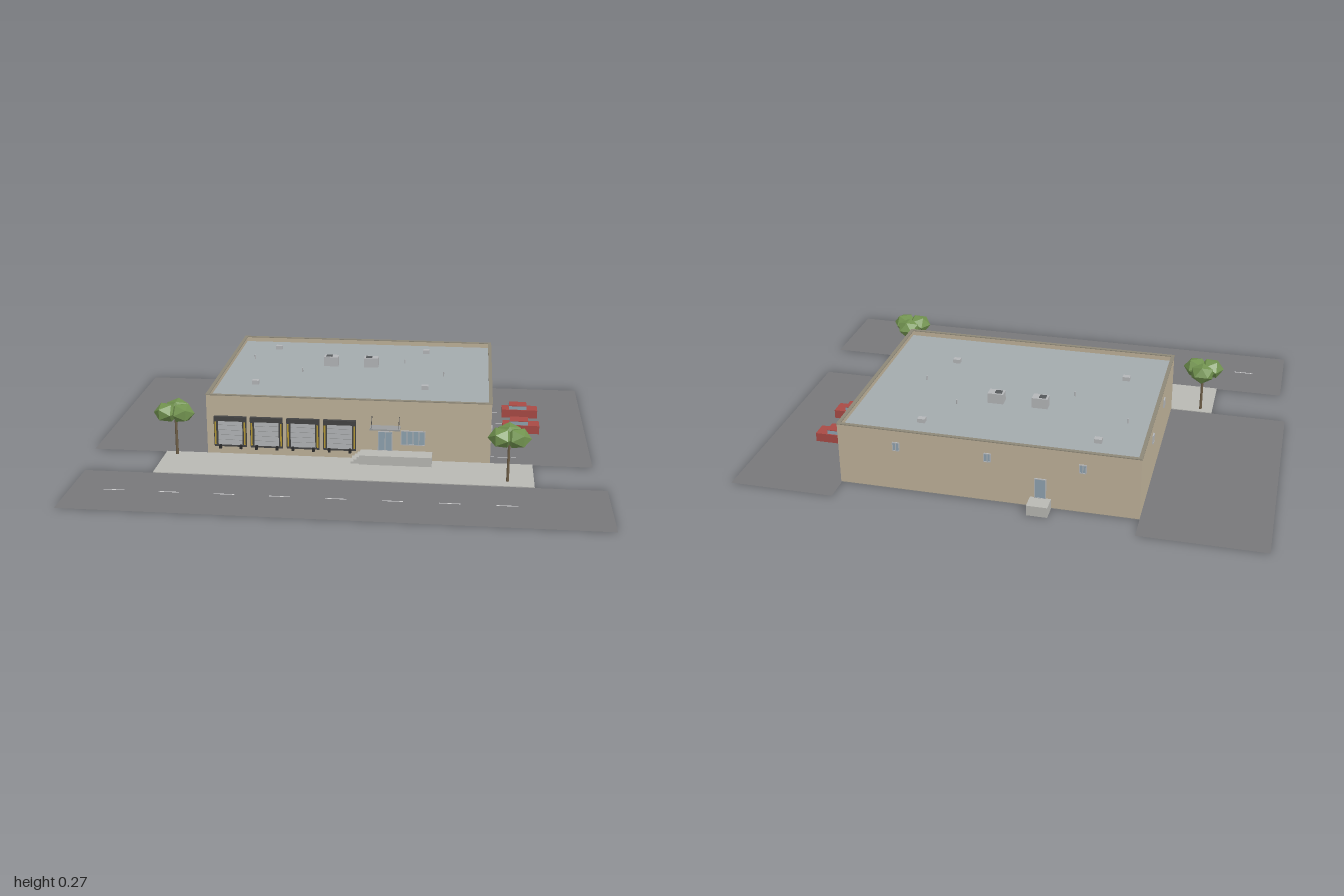
import * as THREE from 'three';

const mats = {};
const mat = (color) => (mats[color] ??= new THREE.MeshStandardMaterial({ color }));
const WALL = 0xbfb29a, ROOF = 0xa3aaad, ASPHALT = 0x77777a, CONCRETE = 0xb8b8b3;
const DARK = 0x444444, GLASS = 0x8fa3b0, GREY = 0xb4b6b8, RED = 0xa84a45, YELLOW = 0xb89b35, LINE = 0xd0d0d0;

// Box given by its minimum and maximum on each axis
function box(parent, name, color, x0, x1, y0, y1, z0, z1) {
  const m = new THREE.Mesh(new THREE.BoxGeometry(x1 - x0, y1 - y0, z1 - z0), mat(color));
  m.position.set((x0 + x1) / 2, (y0 + y1) / 2, (z0 + z1) / 2);
  m.name = name;
  parent.add(m);
  return m;
}

// Flat ground sheet
function sheet(parent, name, color, x0, x1, z0, z1, y = 0) {
  const material = mat(color).clone();
  material.side = THREE.DoubleSide;
  const m = new THREE.Mesh(new THREE.PlaneGeometry(x1 - x0, z1 - z0).rotateX(-Math.PI / 2), material);
  m.position.set((x0 + x1) / 2, y, (z0 + z1) / 2);
  m.name = name;
  parent.add(m);
}

// Thin round bar between two points
function bar(parent, name, color, a, b, r0, r1 = r0, sides = 6) {
  const from = new THREE.Vector3(...a), dir = new THREE.Vector3(...b).sub(from);
  const m = new THREE.Mesh(new THREE.CylinderGeometry(r1, r0, dir.length(), sides), mat(color));
  m.position.copy(from).addScaledVector(dir, 0.5);
  m.quaternion.setFromUnitVectors(new THREE.Vector3(0, 1, 0), dir.normalize());
  m.name = name;
  parent.add(m);
}

// Framed glazing facing +z, centred on its own origin
function glazing(name, w, h, panes) {
  const g = new THREE.Group(), t = 0.003;
  g.name = name;
  box(g, 'glass', GLASS, -w / 2, w / 2, -h / 2, h / 2, -0.002, 0.002);
  for (const s of [-1, 1]) box(g, 'frame', GREY, -w / 2, w / 2, s * h / 2 - t / 2, s * h / 2 + t / 2, -0.002, 0.004);
  for (let i = 0; i <= panes; i++) {
    const x = -w / 2 + (w * i) / panes;
    box(g, 'frame', GREY, x - t / 2, x + t / 2, -h / 2, h / 2, -0.002, 0.004);
  }
  return g;
}

function place(parent, part, x, y, z, turn = 0) {
  part.position.set(x, y, z);
  part.rotation.y = turn;
  parent.add(part);
}

// Loading door with dark surround, yellow guides and bumpers
function dockDoor(x) {
  const g = new THREE.Group();
  g.name = 'dockDoor';
  g.position.set(x, 0, 0.18);
  box(g, 'hood', DARK, -0.064, 0.064, 0.142, 0.16, 0, 0.015);
  box(g, 'doorPanel', GREY, -0.05, 0.05, 0.04, 0.142, 0, 0.003);
  for (let i = 1; i < 5; i++) box(g, 'panelSeam', 0x8c8e90, -0.05, 0.05, 0.04 + i * 0.0204, 0.0412 + i * 0.0204, 0, 0.0038);
  box(g, 'doorSill', DARK, -0.064, 0.064, 0.034, 0.04, 0, 0.007);
  for (const s of [-1, 1]) {
    const side = (name, color, a, b, y0, y1, d) =>
      box(g, name, color, Math.min(s * a, s * b), Math.max(s * a, s * b), y0, y1, 0, d);
    side('sideSeal', DARK, 0.049, 0.064, 0.04, 0.142, 0.012);
    side('yellowGuide', YELLOW, 0.055, 0.061, 0.045, 0.138, 0.014);
    side('bumper', 0x2b2b2b, 0.036, 0.046, 0.026, 0.042, 0.012);
  }
  return g;
}

// Tree with a slim trunk and three faceted crowns
function tree(x, z, turn) {
  const g = new THREE.Group();
  g.name = 'tree';
  g.position.set(x, 0, z);
  bar(g, 'trunk', 0x6f5f48, [0, 0, 0], [0, 0.16, 0], 0.006, 0.005);
  const leaf = mat(0x71924f).clone();
  leaf.flatShading = true;
  for (let i = 0; i < 3; i++) {
    const a = turn + (i * Math.PI * 2) / 3;
    const crown = new THREE.Mesh(new THREE.IcosahedronGeometry(0.05, 0), leaf);
    crown.position.set(Math.cos(a) * 0.036, 0.182, Math.sin(a) * 0.036);
    crown.scale.y = 0.8;
    crown.rotation.y = a;
    crown.name = 'crown';
    g.add(crown);
  }
  return g;
}

function car(z) {
  const g = new THREE.Group();
  g.name = 'car';
  box(g, 'carBody', RED, 0.625, 0.775, 0.006, 0.041, z - 0.032, z + 0.032);
  box(g, 'carCabin', GLASS, 0.655, 0.729, 0.041, 0.056, z - 0.027, z + 0.027);
  box(g, 'carRoof', RED, 0.655, 0.729, 0.056, 0.059, z - 0.027, z + 0.027);
  return g;
}

export function createModel() {
  const model = new THREE.Group();
  model.name = 'warehouse';

  // Ground, road and markings
  sheet(model, 'leftLot', ASPHALT, -1, -0.54, -0.77, 0.18);
  sheet(model, 'rightLot', ASPHALT, 0.57, 0.965, -0.77, 0.18);
  sheet(model, 'road', ASPHALT, -0.97, 1, 0.405, 0.765);
  box(model, 'apron', CONCRETE, -0.705, 0.735, 0, 0.003, 0.18, 0.405);
  for (let i = 0; i < 8; i++) sheet(model, 'roadDash', LINE, -0.842 + i * 0.205, -0.765 + i * 0.205, 0.582, 0.588, 0.002);
  for (let i = 0; i < 5; i++) sheet(model, 'parkingLine', LINE, 0.575, 0.675, 0.108 - i * 0.132, 0.112 - i * 0.132, 0.002);

  // Building shell with parapet
  const [x0, x1, z0, z1, h, t] = [-0.54, 0.572, -0.67, 0.18, 0.243, 0.01];
  box(model, 'floor', 0x8d8d8b, x0, x1, 0, 0.003, z0, z1);
  box(model, 'frontWall', WALL, x0, x1, 0.003, h, z1 - t, z1);
  box(model, 'backWall', WALL, x0, x1, 0.003, h, z0, z0 + t);
  box(model, 'leftWall', WALL, x1 - t, x1, 0.003, h, z0 + t, z1 - t);
  box(model, 'rightWall', WALL, x0, x0 + t, 0.003, h, z0 + t, z1 - t);
  box(model, 'roof', ROOF, x0 + t, x1 - t, 0.215, 0.224, z0 + t, z1 - t);
  const cap = 0x8d8777;
  for (const z of [z0, z1 - t]) box(model, 'parapetCap', cap, x0 - 0.002, x1 + 0.002, h, h + 0.003, z - 0.002, z + t + 0.002);
  for (const x of [x0, x1 - t]) box(model, 'parapetCap', cap, x - 0.002, x + t + 0.002, h, h + 0.003, z0 + t, z1 - t);

  // Roof equipment
  for (const x of [-0.105, 0.065]) {
    box(model, 'airUnit', GREY, x - 0.03, x + 0.03, 0.224, 0.264, -0.35, -0.31);
    box(model, 'airUnitGrille', 0x55585a, x - 0.022, x + 0.004, 0.264, 0.266, -0.342, -0.318);
  }
  for (const [x, z] of [[-0.365, -0.548], [0.29, -0.548], [-0.382, -0.04], [0.306, -0.04]])
    box(model, 'roofVent', GREY, x - 0.014, x + 0.014, 0.224, 0.24, z - 0.011, z + 0.011);
  for (const [x, z] of [[-0.445, -0.385], [0.205, -0.385], [-0.215, -0.22], [0.375, -0.22]])
    bar(model, 'ventPipe', GREY, [x, 0.224, z], [x, 0.242, z], 0.003);

  // Loading doors
  for (let i = 0; i < 4; i++) model.add(dockDoor(-0.446 + i * 0.144));

  // Entrance landing, steps, doors, window and canopy
  box(model, 'landing', CONCRETE, 0.068, 0.348, 0.003, 0.04, 0.18, 0.247);
  for (let i = 0; i < 3; i++) box(model, 'step', CONCRETE, 0.035 + i * 0.011, 0.068, 0.003 + i * 0.009, 0.012 + i * 0.009, 0.18, 0.24);
  place(model, glazing('entranceDoor', 0.054, 0.078, 2), 0.164, 0.079, 0.181);
  place(model, glazing('frontWindow', 0.092, 0.056, 4), 0.272, 0.095, 0.181);
  box(model, 'canopy', 0x9a9c9d, 0.107, 0.223, 0.138, 0.143, 0.18, 0.228);
  for (const x of [0.112, 0.218]) bar(model, 'canopyTie', DARK, [x, 0.18, 0.18], [x, 0.143, 0.222], 0.0015);

  // Back landing and door
  box(model, 'backLanding', CONCRETE, -0.222, -0.145, 0, 0.04, -0.732, -0.67);
  place(model, glazing('backDoor', 0.04, 0.078, 1), -0.183, 0.079, -0.671, Math.PI);

  // Side and back windows
  place(model, glazing('officeWindow', 0.04, 0.058, 3), 0.573, 0.095, 0.104, Math.PI / 2);
  for (const z of [-0.098, -0.294]) place(model, glazing('highWindow', 0.024, 0.032, 2), 0.573, 0.18, z, Math.PI / 2);
  for (const z of [-0.11, -0.4]) place(model, glazing('highWindow', 0.024, 0.032, 2), -0.541, 0.18, z, -Math.PI / 2);
  for (const x of [-0.335, 0.01, 0.35]) place(model, glazing('highWindow', 0.024, 0.032, 2), x, 0.18, -0.671, Math.PI);

  // Trees and cars
  model.add(tree(-0.657, 0.207, -Math.PI / 2), tree(0.636, 0.357, -Math.PI / 2));
  for (const z of [-0.383, -0.188]) model.add(car(z));

  return model;
}
